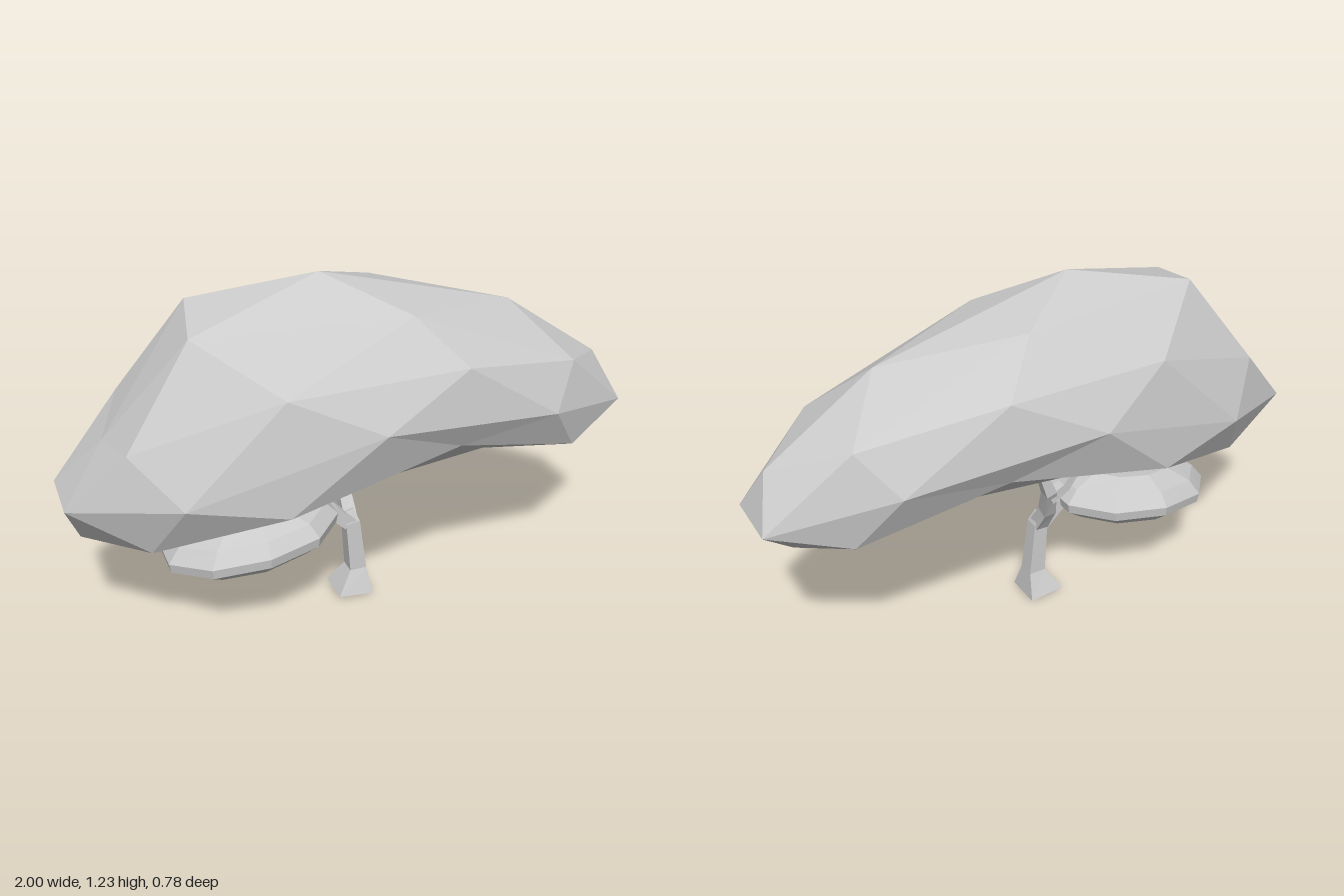
import * as THREE from 'three';

const material = new THREE.MeshStandardMaterial({ color: 0xcccccc, flatShading: true });

function makeMesh(name, points, faces) {
  const geometry = new THREE.BufferGeometry();
  geometry.setAttribute('position', new THREE.Float32BufferAttribute(points.flat(), 3));
  geometry.setIndex(faces.flat());
  geometry.computeVertexNormals();
  const mesh = new THREE.Mesh(geometry, material);
  mesh.name = name;
  return mesh;
}

// Joins equal rings into a closed skin; rings run upwards, counter-clockwise seen from their end
function loft(name, rings) {
  const n = rings[0].length, last = (rings.length - 1) * n, faces = [];
  for (let r = 0; r < last; r += n) {
    for (let i = 0; i < n; i++) {
      const a = r + i, b = r + (i + 1) % n;
      faces.push([a, b, b + n], [a, b + n, a + n]);
    }
  }
  for (let i = 1; i < n - 1; i++) faces.push([0, i + 1, i], [last, last + i, last + i + 1]);
  return makeMesh(name, rings.flat(), faces);
}

// Square-section limb along a path of [x, y, z, half width]
function limb(name, path) {
  const pts = path.map(p => new THREE.Vector3(p[0], p[1], p[2]));
  const rings = pts.map((p, k) => {
    const t = pts[Math.min(k + 1, pts.length - 1)].clone().sub(pts[Math.max(k - 1, 0)]).normalize();
    const u = t.clone().cross(new THREE.Vector3(0, 0, 1)).normalize();
    const v = t.clone().cross(u);
    return [[1, 1], [-1, 1], [-1, -1], [1, -1]].map(([a, b]) => {
      const q = p.clone().addScaledVector(u, a * path[k][3]).addScaledVector(v, b * path[k][3]);
      return [q.x, Math.max(0, q.y), q.z];
    });
  });
  return loft(name, rings);
}

// Main canopy: a stretched, drooping faceted ball made from mirrored half rings
function canopy() {
  const halves = [
    [[-0.12, 1.23, 0]],
    [[0.57, 1.05, 0], [0.13, 1.11, 0.19], [-0.58, 1.11, 0.12]],
    [[0.94, 0.8, 0], [0.73, 0.87, 0.2], [0.27, 0.96, 0.32], [-0.34, 0.95, 0.32], [-0.81, 0.8, 0.2], [-0.85, 0.77, 0]],
    [[1, 0.64, 0.11], [0.62, 0.73, 0.3], [-0.04, 0.81, 0.39], [-0.67, 0.64, 0.32], [-1, 0.6, 0.11]],
    [[0.88, 0.5, 0], [0.75, 0.55, 0.21], [0.26, 0.68, 0.3], [-0.35, 0.57, 0.36], [-0.76, 0.45, 0.2], [-0.95, 0.44, 0]],
    [[0.44, 0.55, 0.12], [-0.22, 0.53, 0.2], [-0.6, 0.43, 0]],
    [[0, 0.56, 0]],
  ];
  // The back half sits slightly higher and further in
  const back = ([x, y, z]) => {
    const inner = x > -0.9 && x < -0.1;
    return [x + (inner ? 0.05 : 0), y + (inner ? 0.045 : Math.abs(x) > 0.9 ? 0 : 0.025), -z];
  };
  const points = [];
  const ring = halves.map(half => {
    const full = [...half, ...half.filter(p => p[2] > 0).reverse().map(back)];
    const start = points.length;
    points.push(...full);
    return i => start + (i + full.length) % full.length;
  });
  const [top, crown, upper, middle, lower, under, bottom] = ring;
  const faces = [];
  for (let i = 0; i < 5; i++) {
    const j = 2 * i;
    faces.push(
      [top(0), crown(i + 1), crown(i)],
      [crown(i), crown(i + 1), upper(j + 1)],
      [crown(i), upper(j + 1), upper(j)],
      [crown(i), upper(j), upper(j - 1)],
      [lower(j), lower(j + 1), under(i)],
      [lower(j + 1), lower(j + 2), under(i)],
      [lower(j + 2), under(i + 1), under(i)],
      [under(i), under(i + 1), bottom(0)]);
  }
  for (let j = 0; j < 10; j++) {
    faces.push(
      [upper(j), upper(j + 1), middle(j)],
      [upper(j), middle(j), middle(j - 1)],
      [middle(j - 1), middle(j), lower(j)],
      [middle(j), lower(j + 1), lower(j)]);
  }
  return makeMesh('canopy', points, faces);
}

// Small leaf cluster: flattened rounded rings that droop away from the trunk
function leafCluster() {
  const levels = [[0.25, 0.3], [0.295, 0.76], [0.345, 0.98], [0.38, 1], [0.425, 0.86], [0.455, 0.55]];
  const sides = 10;
  const rings = levels.map(([y, r]) => Array.from({ length: sides }, (_, i) => {
    const a = -(i + 0.5) / sides * Math.PI * 2;
    const x = -0.39 + 0.315 * r * Math.cos(a);
    const droop = 0.27 * Math.min(0, x + 0.2) ** 2;
    return [x, y - droop, 0.26 * r * Math.sin(a)];
  }));
  return loft('leafCluster', rings);
}

export function createModel() {
  const tree = new THREE.Group();
  tree.name = 'tree';
  tree.add(
    limb('trunk', [[-0.015, 0, 0, 0.066], [0.006, 0.095, 0, 0.031], [-0.012, 0.29, 0, 0.026], [-0.022, 0.33, -0.01, 0.02]]),
    limb('sideBranch', [[-0.015, 0.28, 0, 0.025], [-0.08, 0.34, 0, 0.024], [-0.14, 0.375, 0, 0.02]]),
    limb('backBranch', [[-0.015, 0.28, 0, 0.025], [-0.018, 0.37, -0.055, 0.023], [0.005, 0.48, -0.105, 0.02], [0.05, 0.6, -0.11, 0.014]]),
    limb('forkBranch', [[0, 0.45, -0.095, 0.02], [-0.06, 0.485, -0.1, 0.017], [-0.09, 0.53, -0.105, 0.015], [-0.12, 0.6, -0.11, 0.012]]),
    leafCluster(),
    canopy());
  return tree;
}
